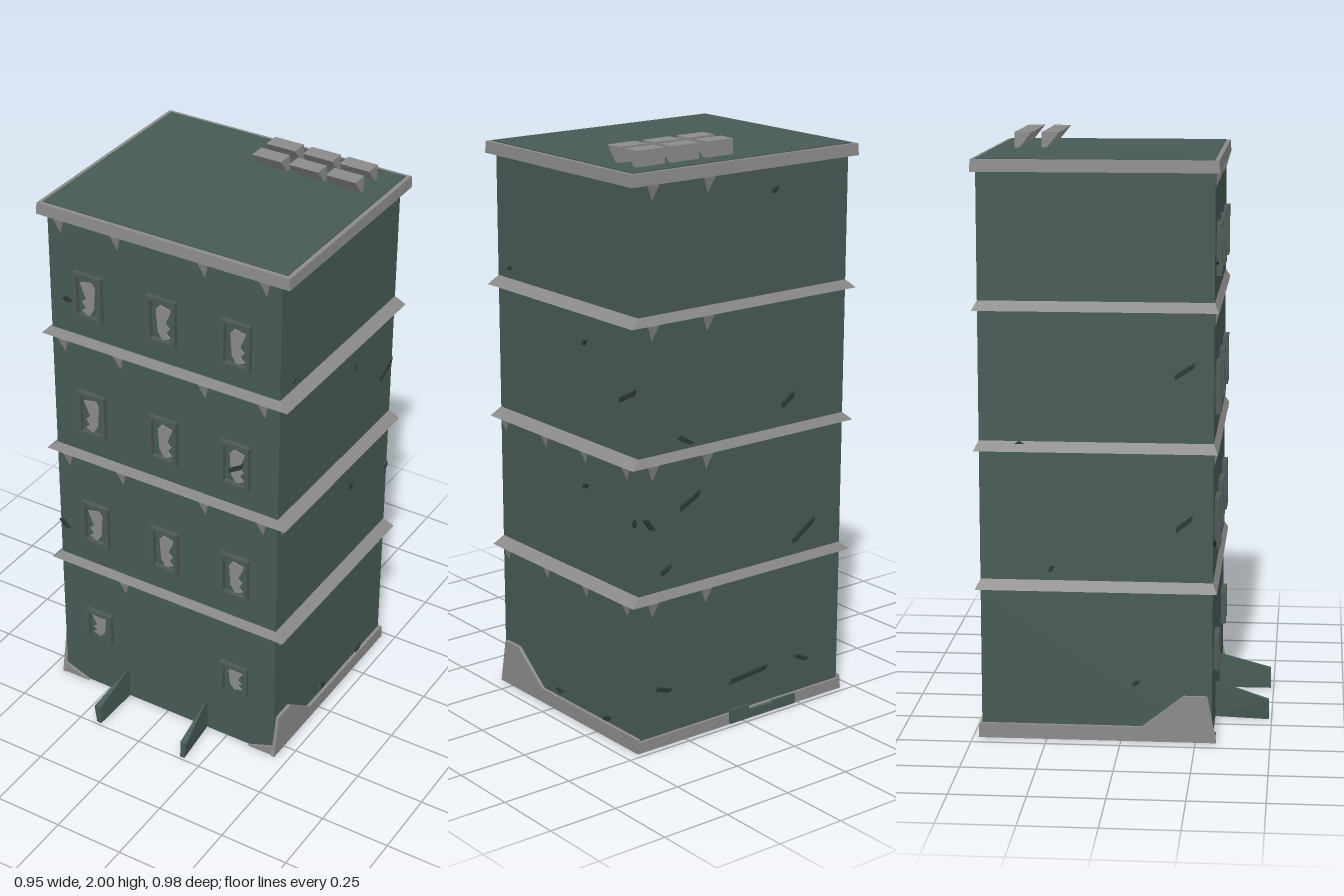
import * as THREE from 'three';
import { ConvexGeometry } from 'three/addons/geometries/ConvexGeometry.js';

const mat = (name, color) => new THREE.MeshStandardMaterial({ name, color, flatShading: true, side: THREE.DoubleSide });

export function createModel() {
  const green = mat('wall green', 0x475a55);
  const grey = mat('trim grey', 0x8c8b8b);
  const dark = mat('crack dark green', 0x2c3834);
  const frameGrey = mat('window frame grey', 0x4d5855);
  const root = new THREE.Group();
  const ZC = -0.0825; // depth centre of the tower

  const add = (parent, name, geo, material, x = 0, y = 0, z = 0) => {
    const m = new THREE.Mesh(geo, material);
    m.name = name;
    m.position.set(x, y, z);
    parent.add(m);
    return m;
  };
  const hull = (pts) => new ConvexGeometry(pts.map((p) => new THREE.Vector3(...p)));
  const poly = (pts) => new THREE.Shape(pts.map((p) => new THREE.Vector2(...p)));
  const plate = (pts, depth) => new THREE.ExtrudeGeometry(poly(pts), { depth, bevelEnabled: false });
  const rect = (w, h) => [[-w / 2, -h / 2], [w / 2, -h / 2], [w / 2, h / 2], [-w / 2, h / 2]];
  const frustum = (w0, d0, w1, d1, h) => {
    const g = new THREE.BoxGeometry(w0, h, d0);
    const p = g.attributes.position;
    for (let i = 0; i < p.count; i++) {
      if (p.getY(i) > 0) p.setXYZ(i, p.getX(i) * w1 / w0, p.getY(i), p.getZ(i) * d1 / d0);
    }
    g.computeVertexNormals();
    return g;
  };

  // Hollow ground floor, solid upper floors
  const ring = poly(rect(0.88, 0.775));
  ring.holes.push(new THREE.Path(rect(0.86, 0.755).reverse().map((p) => new THREE.Vector2(...p))));
  const ground = new THREE.ExtrudeGeometry(ring, { depth: 0.5, bevelEnabled: false });
  ground.rotateX(-Math.PI / 2);
  add(root, 'groundFloorWalls', ground, green, 0, 0, ZC);
  add(root, 'upperFloors', new THREE.BoxGeometry(0.88, 1.42, 0.775), green, 0, 1.21, ZC);

  // Sloped ledges, cornice and roof
  for (const y of [0.52, 0.99, 1.455]) {
    add(root, 'floorLedge', frustum(0.95, 0.805, 0.88, 0.775, 0.03), grey, 0, y + 0.015, ZC);
  }
  add(root, 'cornice', frustum(0.95, 0.805, 0.945, 0.8, 0.04), grey, 0, 1.925, ZC);
  add(root, 'roof', new THREE.BoxGeometry(0.915, 0.006, 0.77), green, 0, 1.945, ZC);

  // Roof units: wedges narrowing towards the bottom
  const unit = [];
  for (const x of [-0.055, 0.055]) {
    unit.push([x, 0.055, -0.03], [x, 0.055, 0.03], [x, 0, -0.03], [x, 0, -0.015]);
  }
  for (const x of [0.055, 0.195, 0.333]) {
    for (const z of [-0.37, -0.277]) add(root, 'roofUnit', hull(unit), grey, x, 1.945, z);
  }

  // One group per wall: local x runs along the wall, local z points outwards
  const wall = (name, x, z, turn) => {
    const g = new THREE.Group();
    g.name = name;
    g.position.set(x, 0, z);
    g.rotation.y = turn;
    root.add(g);
    return g;
  };
  const front = wall('frontWall', 0, 0.305, 0);
  const back = wall('backWall', 0, -0.47, Math.PI);
  const right = wall('plusXWall', 0.44, 0, Math.PI / 2);
  const left = wall('minusXWall', -0.44, 0, -Math.PI / 2);

  // Pointed brackets hanging below the ledges
  const bracketGeo = hull([[-0.018, 0, 0], [0.018, 0, 0], [0.018, 0, 0.016], [-0.018, 0, 0.016], [0, -0.055, 0]]);
  const brackets = (w, y, xs) => xs.forEach((x) => add(w, 'bracket', bracketGeo, grey, x, y, 0));
  const row = [-0.39, -0.17, 0.16, 0.385];
  for (const y of [0.99, 1.455, 1.905]) brackets(front, y, row);
  brackets(front, 0.52, [-0.17]);
  for (const y of [0.52, 0.99]) brackets(right, y, [-0.275, -0.04, 0.185, 0.41]);
  for (const y of [0.52, 0.99, 1.455, 1.905]) brackets(back, y, [-0.385, -0.16]);

  // Windows with a raised frame and a broken pane
  const shard = [[-0.035, 0.045], [0.01, 0.055], [0.024, 0.035], [0.018, -0.045], [0, -0.075],
    [-0.03, -0.06], [-0.014, -0.045], [-0.028, -0.025], [-0.012, -0.01]];
  const addWindow = (x, y, h, flip) => {
    const g = new THREE.Group();
    g.name = 'window';
    g.position.set(x, y, 0);
    front.add(g);
    const bar = 0.014;
    for (const s of [-1, 1]) {
      add(g, 'frameSide', new THREE.BoxGeometry(bar, h, 0.018), frameGrey, s * (0.055 - bar / 2), 0, 0.009);
      if (s > 0 || h > 0.15) {
        add(g, 'frameRail', new THREE.BoxGeometry(0.082, bar, 0.018), frameGrey, 0, s * (h - bar) / 2, 0.009);
      }
    }
    const pane = shard.map(([px, py]) => [px * flip, py * h / 0.17]);
    add(g, 'brokenPane', plate(flip < 0 ? pane.reverse() : pane, 0.004), grey);
  };
  for (const y of [0.728, 1.185, 1.645]) {
    [-0.285, 0, 0.28].forEach((x, i) => addWindow(x, y, 0.17, i === 0 ? 1 : -1));
  }
  addWindow(-0.285, 0.28, 0.12, 1);
  addWindow(0.28, 0.28, 0.12, -1);

  // Door strips on the inner face of the front wall
  for (const x of [-0.17, 0, 0.17]) {
    add(front, 'doorStrip', new THREE.BoxGeometry(0.015, 0.36, 0.006), grey, x, 0.18, -0.023);
  }

  // Entrance fins, mirrored
  for (const s of [-1, 1]) {
    const fin = [[0.165, 0.13, 0.3], [0.165, 0, 0.3], [0.17, 0.07, 0.49], [0.195, 0.07, 0.49],
      [0.185, 0, 0.49], [0.168, 0, 0.49]];
    add(root, 'entranceFin', hull(fin.map(([x, y, z]) => [x * s, y, z])), green);
  }

  // Plinth: high patch near the front on both sides, low strip behind, front corners
  const patch = [[-0.32, 0], [0.48, 0], [0.475, 0.05], [-0.07, 0.05], [-0.21, 0.16], [-0.29, 0.16]];
  add(right, 'plinth', plate(patch, 0.012), grey);
  add(left, 'plinth', plate(patch.map(([x, y]) => [-x, y]).reverse(), 0.012), grey);
  add(back, 'plinth', plate([[-0.452, 0], [0.452, 0], [0.45, 0.04], [-0.45, 0.04]], 0.01), grey);
  for (const s of [-1, 1]) {
    add(front, 'plinthCorner', plate([[0.34 * s, 0], [0.452 * s, 0], [0.445 * s, 0.04]], 0.01), grey);
  }

  // Cracks: [along, height, length, tilt]
  const crackShape = (l) => plate([[-l / 2, -0.006], [l / 2 - 0.015, -0.008], [l / 2, 0.006], [-l / 2 + 0.01, 0.008]], 0.009);
  const cracks = (w, list) => list.forEach(([x, y, l, a]) => {
    add(w, 'crack', crackShape(l), dark, x, y, 0).rotation.z = a;
  });
  cracks(back, [[0.12, 1.83, 0.03, 0.3], [-0.25, 1.05, 0.07, -0.5], [0.19, 1.11, 0.07, 0.6],
    [-0.23, 0.84, 0.1, 0.5], [-0.4, 0.79, 0.06, -0.9], [0.27, 0.63, 0.12, 0.6], [-0.33, 0.62, 0.05, 0.4],
    [-0.34, 0.2, 0.07, -0.3], [0.03, 0.16, 0.17, 0.1], [0.27, 0.16, 0.07, -0.4]]);
  cracks(left, [[0.21, 1.26, 0.09, 0.6], [0.21, 0.75, 0.08, 0.7], [-0.33, 1.01, 0.04, -0.4],
    [-0.23, 0.59, 0.03, 0.4], [0.05, 0.2, 0.03, 0.2]]);
  cracks(right, [[0.42, 1.22, 0.1, 0.5], [0.19, 1.35, 0.025, 0.2], [0.19, 0.86, 0.03, 0.2],
    [-0.23, 1.52, 0.025, -0.4], [0.455, 0.8, 0.03, 1], [0.03, 0.075, 0.04, -0.3], [0.3, 0.065, 0.04, 0.2]]);
  cracks(front, [[-0.37, 1.61, 0.04, -0.3], [0.28, 1.17, 0.07, 0.6], [-0.42, 0.68, 0.05, -0.8]]);

  // Loose slabs at the foot of the back wall
  for (const [x, w, h] of [[0.18, 0.1, 0.035], [0.05, 0.16, 0.03], [-0.02, 0.08, 0.05]]) {
    add(back, 'looseSlab', new THREE.BoxGeometry(w, h, 0.012), green, x, h / 2 + 0.005, 0.014);
  }
  return root;
}
